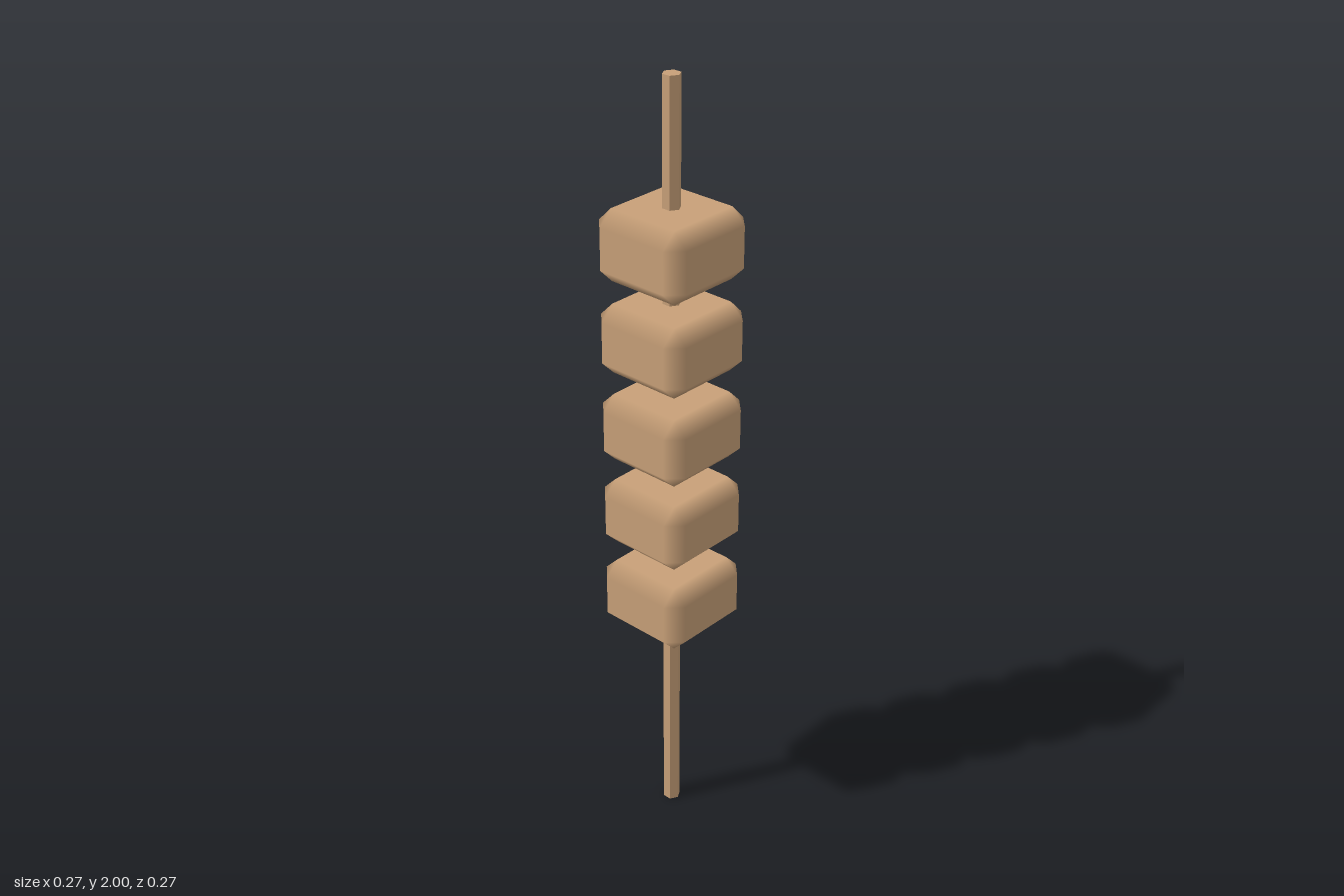
import * as THREE from 'three';
import { ConvexGeometry } from 'three/addons/geometries/ConvexGeometry.js';

// Box with one straight chamfer per edge; normals follow the six main faces,
// so the chamfers shade as soft rounded edges.
function chamferedBox(width, height, depth, chamfer) {
  const half = [width / 2, height / 2, depth / 2];
  const points = [];
  for (let axis = 0; axis < 3; axis++) {
    for (const sx of [-1, 1]) for (const sy of [-1, 1]) for (const sz of [-1, 1]) {
      const p = [sx, sy, sz].map((s, i) => s * (half[i] - (i === axis ? 0 : chamfer)));
      points.push(new THREE.Vector3(...p));
    }
  }
  const geometry = new ConvexGeometry(points);
  const { position, normal } = geometry.attributes;
  for (let v = 0; v < position.count; v++) {
    const p = [position.getX(v), position.getY(v), position.getZ(v)];
    normal.setXYZ(v, ...p.map((c, i) => (Math.abs(c) > half[i] - chamfer / 2 ? Math.sign(c) : 0)));
  }
  return geometry;
}

export function createModel() {
  const group = new THREE.Group();
  group.name = 'skewer';
  const wood = new THREE.MeshStandardMaterial({ name: 'tan', color: 0xc8a078 });

  // Six-sided stick with flat faces and corners on the x axis
  const stickGeometry = new THREE.CylinderGeometry(0.022, 0.022, 2, 6)
    .rotateY(Math.PI / 6).toNonIndexed();
  stickGeometry.computeVertexNormals();
  const stick = new THREE.Mesh(stickGeometry, wood);
  stick.name = 'stick';
  stick.position.y = 1;
  group.add(stick);

  // Five evenly spaced blocks threaded on the stick
  const blockGeometry = chamferedBox(0.266, 0.177, 0.266, 0.037);
  for (let i = 0; i < 5; i++) {
    const block = new THREE.Mesh(blockGeometry, wood);
    block.name = `block${i + 1}`;
    block.position.y = 0.67 + i * 0.2335;
    group.add(block);
  }
  return group;
}
